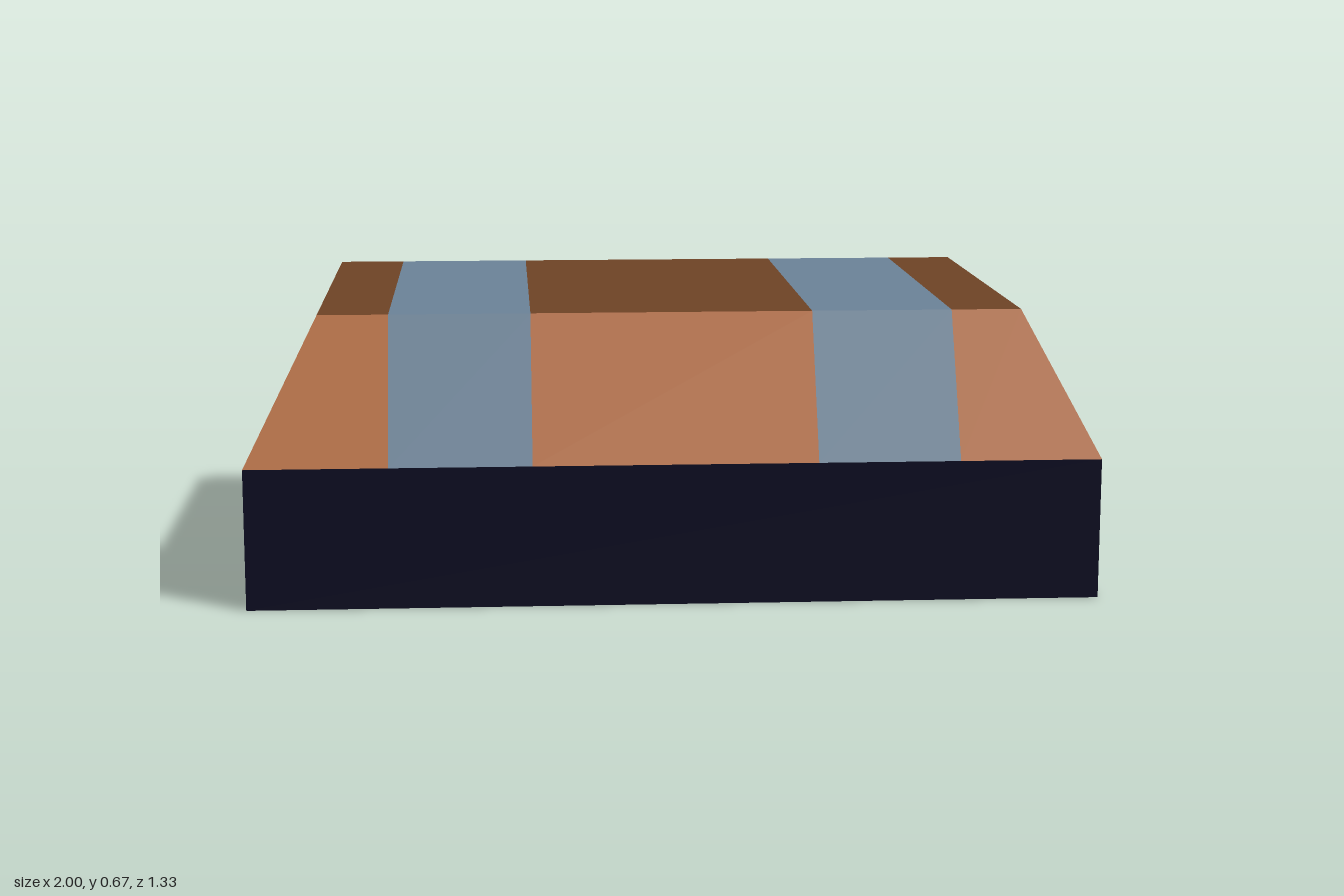
import * as THREE from 'three';

const material = (name, color) => new THREE.MeshStandardMaterial({ name, color });

// Flat-shaded mesh from quads, corners counter-clockwise seen from outside
function quadMesh(name, quads, mat) {
  const positions = quads.flatMap(([a, b, c, d]) => [a, b, c, a, c, d].flat());
  const geometry = new THREE.BufferGeometry();
  geometry.setAttribute('position', new THREE.Float32BufferAttribute(positions, 3));
  geometry.computeVertexNormals();
  const mesh = new THREE.Mesh(geometry, mat);
  mesh.name = name;
  return mesh;
}

export function createModel() {
  const chest = new THREE.Group();
  chest.name = 'chest';

  const navy = material('navy base', 0x0c0c20);
  const steel = material('steel blue bands', 0x6a8196);
  const lightWood = material('light wood', 0xb1693a);
  const wood = material('brown wood', 0x6d4225);
  const darkWood = material('dark wood', 0x452711);

  const RIM = 1 / 3, TOP = 2 / 3;
  // Cross-section edges running round the chest: half width, height, depth
  const frontFoot = [1, 0, 2 / 3];
  const frontRim = [1, RIM, 2 / 3];
  const frontTop = [5 / 6, TOP, 0.5];
  const backTop = [5 / 6, TOP, -0.5];
  const backRim = [1, RIM, -2 / 3];
  const backFoot = [1, 0, -2 / 3];

  // Panel between two edges, covering x from the i-th to the next split
  const strip = (a, b, i) => {
    const splits = (w) => [-w, -2 / 3, -1 / 3, 1 / 3, 2 / 3, w];
    const at = (e, k) => [splits(e[0])[k], e[1], e[2]];
    return [at(a, i), at(a, i + 1), at(b, i + 1), at(b, i)];
  };

  // Banded panels: wood fields with two metal bands
  const panels = [
    ['lidFront', frontRim, frontTop, lightWood],
    ['lidTop', frontTop, backTop, wood],
    ['lidBack', backTop, backRim, darkWood],
    ['baseBack', backRim, backFoot, darkWood],
  ];
  for (const [name, a, b, mat] of panels) {
    chest.add(quadMesh(name, [0, 2, 4].map((i) => strip(a, b, i)), mat));
    chest.add(quadMesh(name + 'Bands', [1, 3].map((i) => strip(a, b, i)), steel));
  }

  // Side panels, mirrored left and right
  const sidePair = (a, b, c, d) => [
    [a, b, c, d],
    [d, c, b, a].map(([x, y, z]) => [-x, y, z]),
  ];
  chest.add(quadMesh('lidSides', sidePair(frontRim, backRim, backTop, frontTop), wood));

  // Base: front, underside and side walls
  const full = (a, b) => [[-a[0], a[1], a[2]], a, b, [-b[0], b[1], b[2]]];
  chest.add(quadMesh('base', [
    full(frontFoot, frontRim),
    full(backFoot, frontFoot),
    ...sidePair(frontFoot, backFoot, backRim, frontRim),
  ], navy));

  return chest;
}
